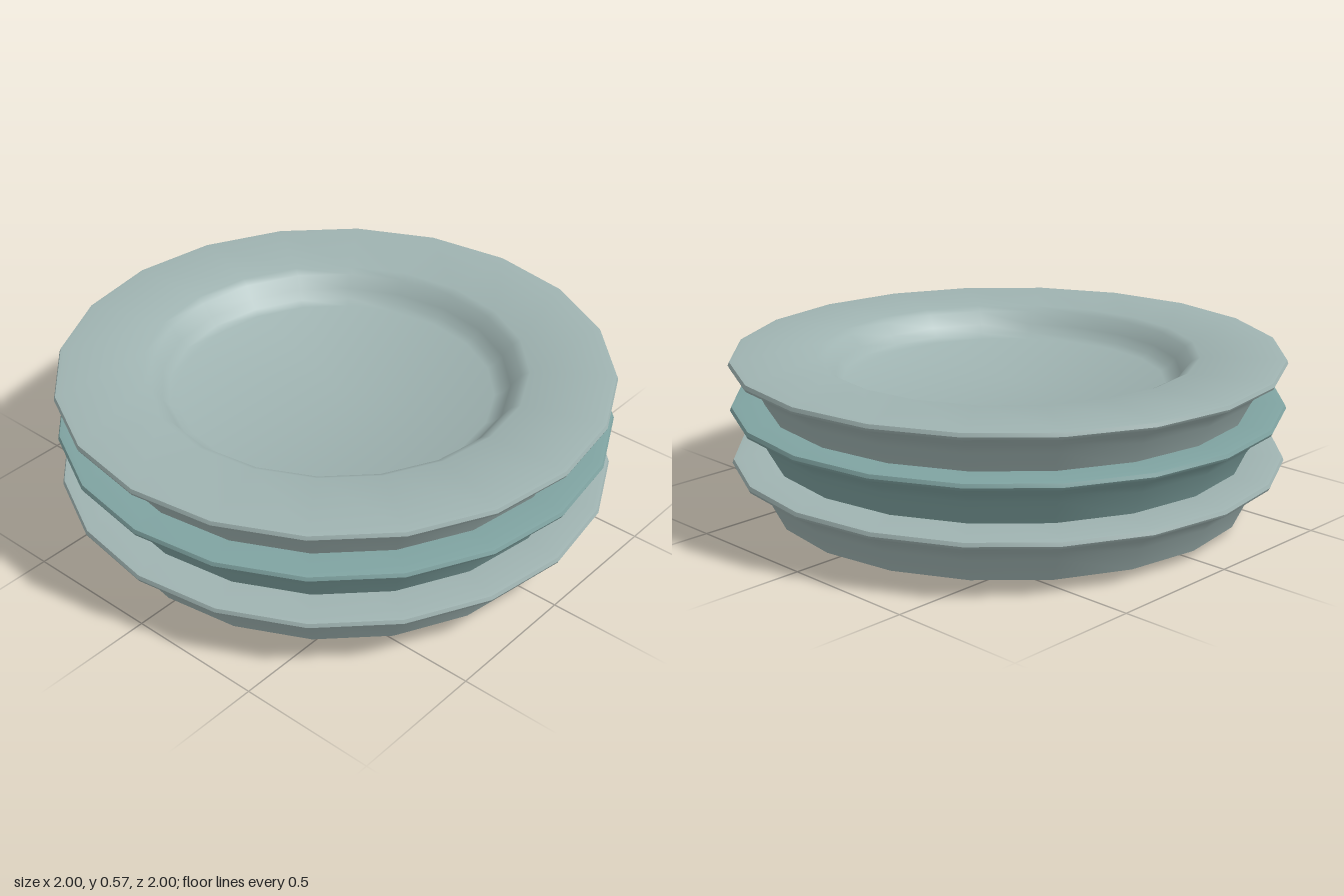
import * as THREE from 'three';
import { toCreasedNormals } from 'three/addons/utils/BufferGeometryUtils.js';

// Plate cross-section (radius, height): underside, outer wall, rim, well
const PROFILE = [
  [0, 0.03], [0.66, 0.03], [0.77, 0], [0.87, 0.03],
  [0.91, 0.115], [0.935, 0.15], [0.995, 0.185], [1, 0.195],
  [0.995, 0.208], [0.98, 0.21],
  [0.69, 0.205], [0.66, 0.19], [0.625, 0.145], [0.6, 0.115], [0.57, 0.1], [0, 0.1],
];

function plateGeometry() {
  const points = PROFILE.map(([r, y]) => new THREE.Vector2(r, y));
  return toCreasedNormals(new THREE.LatheGeometry(points, 20), 0.6);
}

export function createModel() {
  const group = new THREE.Group();
  group.name = 'plateStack';
  const geometry = plateGeometry();
  const pale = new THREE.MeshStandardMaterial({ color: 0x9fb3b1 });
  const teal = new THREE.MeshStandardMaterial({ color: 0x7fa3a1 });

  // Three nested plates, the middle one a deeper shade
  const plates = [
    ['bottomPlate', 0, pale],
    ['middlePlate', 0.195, teal],
    ['topPlate', 0.36, pale],
  ];
  for (const [name, y, material] of plates) {
    const plate = new THREE.Mesh(geometry, material);
    plate.name = name;
    plate.position.y = y;
    group.add(plate);
  }
  return group;
}
